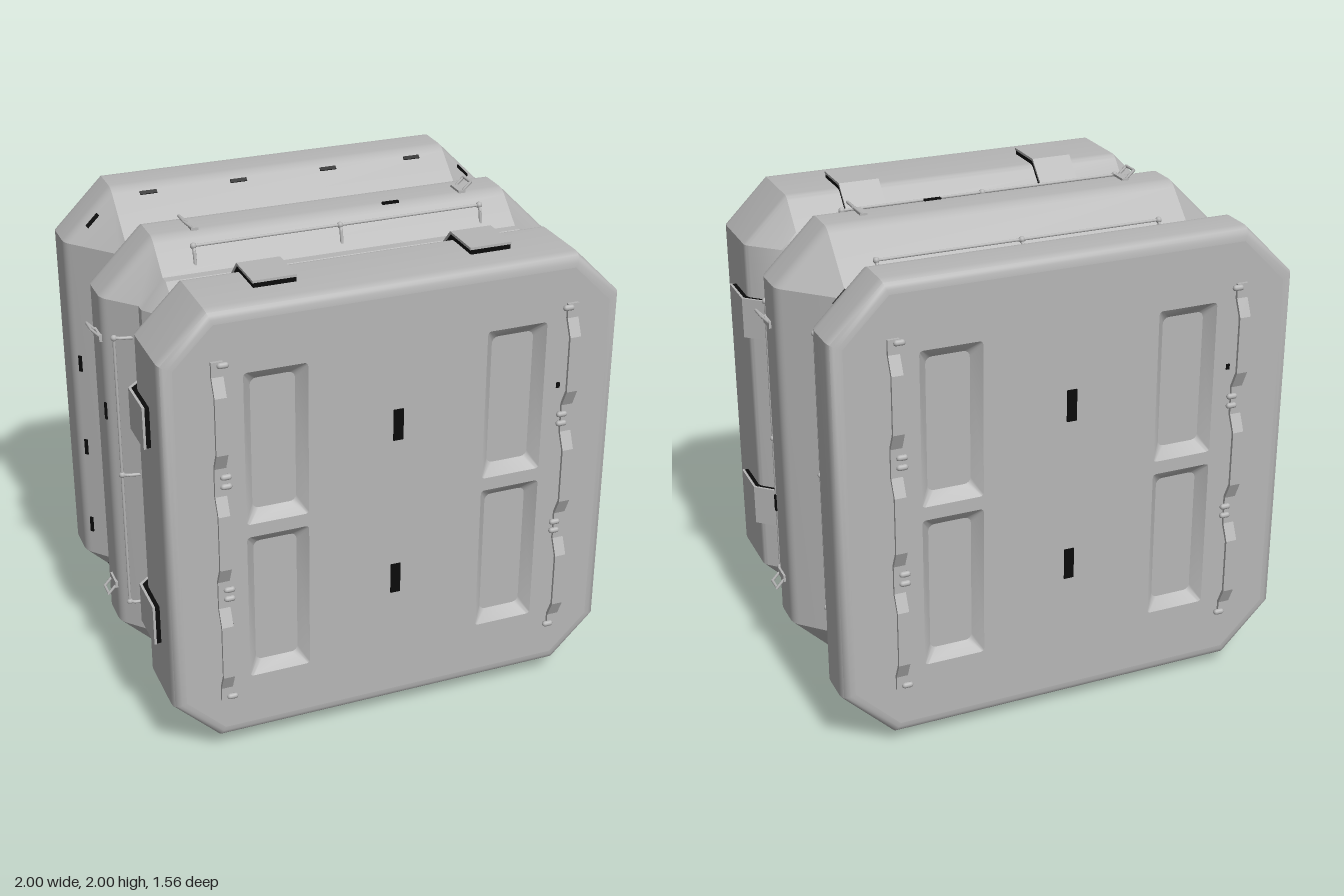
import * as THREE from 'three';
import { mergeGeometries, toCreasedNormals } from 'three/addons/utils/BufferGeometryUtils.js';

const V = (x, y, z) => new THREE.Vector3(x, y, z);
const C = 0.74; // half length of the straight octagon sides
const material = (name, color) => Object.assign(new THREE.MeshStandardMaterial({ color }), { name });

function add(parent, name, geometry, mat) {
  const mesh = new THREE.Mesh(geometry, mat);
  mesh.name = name;
  parent.add(mesh);
  return mesh;
}

// Skin between closed loops of equal length, each counter-clockwise seen from +z
function loft(loops, crease = 0.6) {
  const pos = [];
  for (let i = 0; i + 1 < loops.length; i++) {
    const n = loops[i].length;
    for (let j = 0; j < n; j++) {
      const k = (j + 1) % n;
      const a = loops[i][j], b = loops[i][k], c = loops[i + 1][k], d = loops[i + 1][j];
      for (const p of [a, b, c, a, c, d]) pos.push(p.x, p.y, p.z);
    }
  }
  const geo = new THREE.BufferGeometry();
  geo.setAttribute('position', new THREE.Float32BufferAttribute(pos, 3));
  return toCreasedNormals(geo, crease);
}

// Octagon whose corner lines stay at C while its half size h changes
const ring = (h, c, z) => [[h, -c], [h, c], [c, h], [-c, h], [-h, c], [-h, -c], [-c, -h], [c, -h]]
  .map(([x, y]) => V(x, y, z));

const roundRect = (cx, cy, w, h, r, z) => {
  const pts = [];
  [[1, 1], [-1, 1], [-1, -1], [1, -1]].forEach(([sx, sy], q) => {
    for (let i = 0; i <= 4; i++) {
      const a = (q + i / 4) * Math.PI / 2;
      pts.push(V(cx + sx * (w / 2 - r) + r * Math.cos(a), cy + sy * (h / 2 - r) + r * Math.sin(a), z));
    }
  });
  return pts;
};

// Bent strip: profile points [z, y], mitred between offsets t0 and t1, extruded along x
function band(points, t0, t1, width) {
  const p = points.map(([x, y]) => new THREE.Vector2(x, y));
  const normal = (a, b) => new THREE.Vector2(a.y - b.y, b.x - a.x).normalize();
  const offset = t => p.map((q, i) => {
    const n1 = normal(p[Math.max(i - 1, 0)], p[Math.max(i, 1)]);
    const last = p.length - 1;
    const n2 = normal(p[Math.min(i, last - 1)], p[Math.min(i + 1, last)]);
    const m = n1.clone().add(n2).normalize();
    return q.clone().addScaledVector(m, t / m.dot(n1));
  });
  const shape = new THREE.Shape([...offset(t0), ...offset(t1).reverse()]);
  return new THREE.ExtrudeGeometry(shape, { depth: width, bevelEnabled: false })
    .translate(0, 0, -width / 2).rotateY(-Math.PI / 2);
}

// Round bars along a polyline
function bars(points, r) {
  const parts = [];
  for (let i = 0; i + 1 < points.length; i++) {
    const d = points[i + 1].clone().sub(points[i]);
    const q = new THREE.Quaternion().setFromUnitVectors(V(0, 1, 0), d.clone().normalize());
    const mid = points[i].clone().addScaledVector(d, 0.5);
    parts.push(new THREE.CylinderGeometry(r, r, d.length() + r, 8).applyQuaternion(q).translate(mid.x, mid.y, mid.z));
  }
  return mergeGeometries(parts);
}

// Body profile as [z, half size, rounding]
const profile = [
  [-0.74, 0.9, 0], [-0.74, 0.95, 0.05], [-0.55, 0.95, 0.03], [-0.34, 0.77, 0], [-0.3, 0.77, 0],
  [-0.11, 0.957, 0.03], [0.05, 0.957, 0.03], [0.18, 0.84, 0], [0.22, 0.84, 0], [0.29, 0.79, 0],
  [0.295, 0.805, 0], [0.41, 0.925, 0.02], [0.73, 0.925, 0.05], [0.73, 0.875, 0]];

function bodyRings() {
  const pts = [];
  profile.forEach(([z, h, r], i) => {
    const p = new THREE.Vector2(z, h);
    if (!r) return pts.push(p);
    const toward = j => {
      const d = new THREE.Vector2(profile[j][0], profile[j][1]).sub(p);
      return p.clone().addScaledVector(d.normalize(), r);
    };
    pts.push(...new THREE.QuadraticBezierCurve(toward(i - 1), p, toward(i + 1)).getPoints(5));
  });
  // The end faces shrink evenly through their rounded rims
  return pts.map(({ x: z, y: h }) => {
    const inset = z > 0.67 ? 0.925 - h : z < -0.68 ? 0.95 - h : 0;
    return ring(h, C - 0.41 * inset, z);
  });
}

// End face with sunken panels, straps and dark plates; faces +z at z = 0
function endFace(outline, grey, black) {
  const g = new THREE.Group();
  const flat = pts => pts.map(p => new THREE.Vector2(p.x, p.y));
  const face = new THREE.Shape(flat(outline));
  for (const x of [-0.487, 0.487]) for (const y of [-0.34, 0.35]) {
    const rim = roundRect(x, y, 0.25, 0.635, 0.015, 0);
    const floor = roundRect(x, y, 0.175, 0.545, 0.025, -0.04);
    face.holes.push(new THREE.Path(flat(rim)));
    add(g, 'panelWalls', loft([rim, floor]), grey);
    add(g, 'panelFloor', new THREE.ShapeGeometry(new THREE.Shape(flat(floor))), grey).position.z = -0.04;
  }
  add(g, 'facePlate', new THREE.ShapeGeometry(face), grey);

  // Wavy straps held by small brackets
  const path = [[0.008, -0.735]];
  for (let i = 0; i < 3; i++) {
    const y = -0.735 + i * 0.49;
    path.push([0.008, y + 0.06], [0.04, y + 0.13], [0.04, y + 0.36], [0.008, y + 0.43]);
  }
  path.push([0.008, 0.735]);
  for (const s of [-1, 1]) {
    add(g, 'strap', band(path, -0.006, 0.006, 0.046), grey).position.x = s * 0.713;
    for (const y of [-0.72, -0.265, -0.225, 0.225, 0.265, 0.72]) {
      const bracket = new THREE.CapsuleGeometry(0.012, 0.022, 4, 8).rotateZ(Math.PI / 2);
      add(g, 'strapBracket', bracket, grey).position.set(s * 0.692, y, 0.014);
    }
  }
  for (const y of [-0.34, 0.345])
    add(g, 'darkPlate', new THREE.BoxGeometry(0.04, 0.13, 0.008), black).position.set(0, y, 0.002);
  for (const [x, y] of [[0.673, 0.39], [-0.685, -0.4]])
    add(g, 'darkSlot', new THREE.BoxGeometry(0.014, 0.022, 0.008), black).position.set(x, y, 0.002);
  return g;
}

// Fittings of one side, built as the top side
function sideFittings(grey, black, isTop) {
  const g = new THREE.Group();
  const bend = [[0.295, 0.805], [0.41, 0.925], [0.58, 0.925]];
  for (const s of [-1, 1]) {
    // Clamps over the rear edge of the front slab
    add(g, 'clampPad', band(bend, -0.004, 0.018, 0.166), black).position.x = s * 0.433;
    add(g, 'clampPlate', band(bend, 0.018, 0.028, 0.172), grey).position.x = s * 0.433;
    // Tilted lifting loops
    const x0 = s * 0.565, x1 = s * 0.605;
    add(g, 'liftingLoop', bars([V(x0, 0.95, -0.033), V(x0 + s * 0.012, 0.968, -0.033), V(x1, 0.994, -0.033),
      V(x1, 0.994, 0.033), V(x0 + s * 0.012, 0.968, 0.033), V(x0, 0.95, 0.033)], 0.006), grey);
    add(g, 'loopBase', new THREE.BoxGeometry(0.03, 0.012, 0.08), grey).position.set(x0, 0.96, 0);
  }
  // Grab rails on both slopes of the middle section
  for (const [z, h, footZ, footH] of [[0.128, 0.93, 0.15, 0.86], [-0.268, 0.855, -0.275, 0.785]]) {
    const out = z + Math.sign(z) * 0.012;
    add(g, 'grabRail', bars([V(-0.6, h, z), V(0.6, h, z)], 0.006), grey);
    for (const x of [-0.6, 0, 0.6]) {
      add(g, 'railPost', bars([V(x, h, z), V(x, h - 0.02, out), V(x, footH, footZ)], 0.007), grey);
      add(g, 'railKnob', new THREE.SphereGeometry(0.013, 10, 8), grey).position.set(x, h, z);
    }
  }
  // Dark slots
  const tilt = Math.atan2(0.18, 0.21);
  const slot = (x, y, z, w, rx) => {
    const m = add(g, 'darkSlot', new THREE.BoxGeometry(w, 0.008, 0.016), black);
    m.position.set(x, y, z);
    m.rotation.x = rx;
  };
  for (const x of isTop ? [-0.59, -0.2, 0.2, 0.585] : [-0.59, -0.2, 0.2]) slot(x, 0.922, -0.516, 0.072, tilt);
  slot(0.65, 0.806, -0.38, 0.026, tilt);
  slot(0.25, 0.958, 0.04, 0.07, 0);
  // Slot on the neighbouring corner face
  const corner = new THREE.Group();
  corner.name = 'cornerSlot';
  corner.rotation.z = -Math.PI / 4;
  const m = add(corner, 'darkSlot', new THREE.BoxGeometry(0.07, 0.008, 0.016), black);
  m.position.set(0, (C + 0.922) / Math.SQRT2, -0.516);
  m.rotation.x = Math.atan(0.18 / 0.21 / Math.SQRT2);
  g.add(corner);
  return g;
}

export function createModel() {
  const grey = material('casing grey', 0xb6b6b6);
  const black = material('black', 0x0a0a0a);
  const root = new THREE.Group();
  root.name = 'container';
  const model = new THREE.Group();
  model.name = 'centredParts';
  model.position.y = 1;
  root.add(model);

  const rings = bodyRings();
  add(model, 'body', loft(rings), grey);

  const front = endFace(rings[rings.length - 1], grey, black);
  front.name = 'frontFace';
  front.position.z = 0.73;
  const back = endFace(rings[0], grey, black);
  back.name = 'backFace';
  back.position.z = -0.74;
  back.rotation.y = Math.PI;
  model.add(front, back);

  ['top', 'left', 'bottom', 'right'].forEach((side, i) => {
    const fittings = sideFittings(grey, black, i === 0);
    fittings.name = side + 'Fittings';
    fittings.rotation.z = -i * Math.PI / 2;
    model.add(fittings);
  });
  return root;
}
